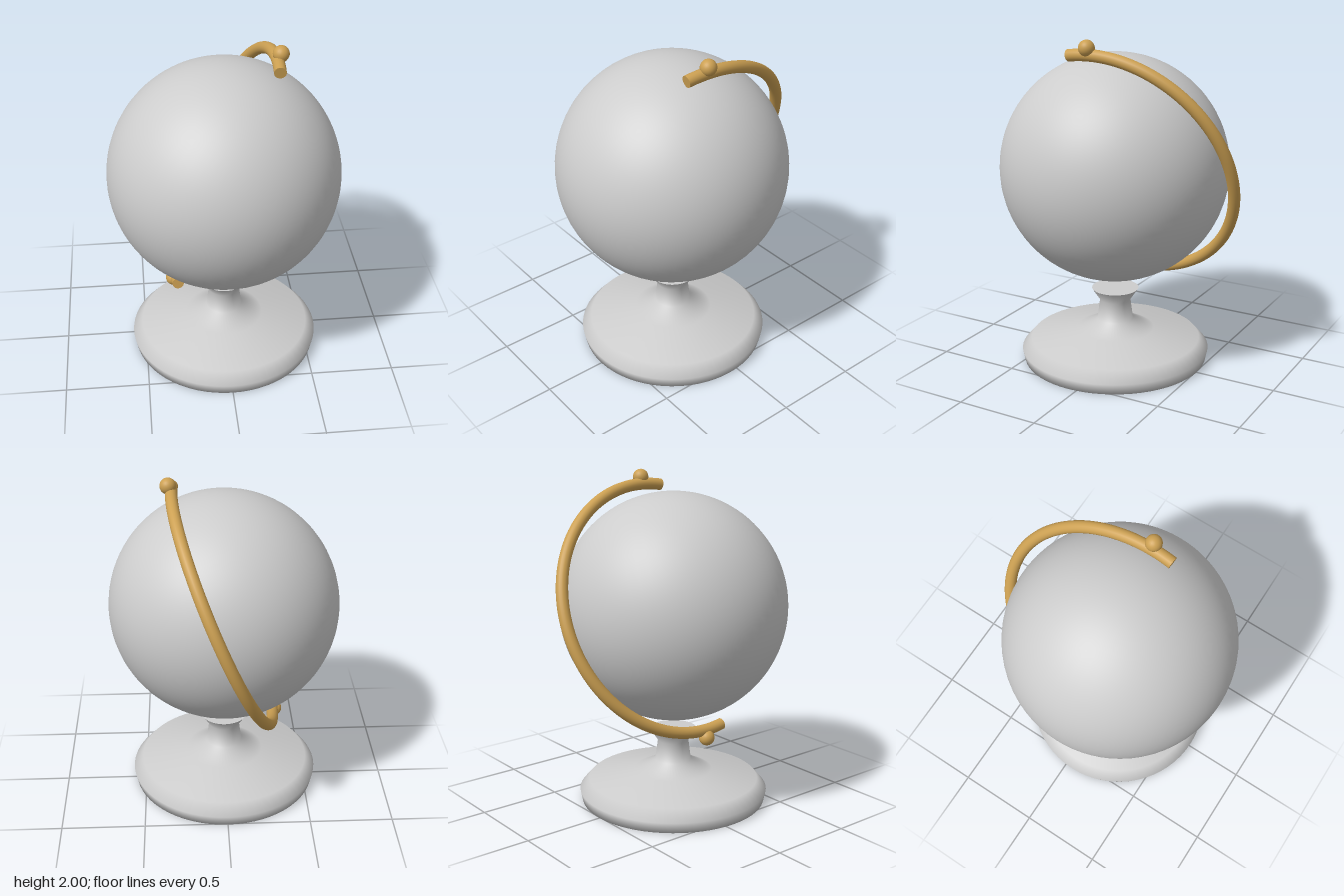
import * as THREE from 'three';

export function createModel() {
  const model = new THREE.Group();
  const grey = new THREE.MeshStandardMaterial({ color: 0xcccccc });
  grey.name = 'pale grey';
  const brass = new THREE.MeshStandardMaterial({ color: 0xcca052 });
  brass.name = 'brass';

  const add = (parent, name, geometry, material, x = 0, y = 0, z = 0) => {
    const mesh = new THREE.Mesh(geometry, material);
    mesh.name = name;
    mesh.position.set(x, y, z);
    parent.add(mesh);
    return mesh;
  };

  const centreY = 1.212, centreZ = 0.057;

  // Turned pedestal, closed above and below
  const profile = [
    [0, 0], [0.564, 0], [0.578, 0.066], [0.52, 0.132], [0.24, 0.183],
    [0.11, 0.246], [0.094, 0.37], [0.143, 0.445],
  ].map(([x, y]) => new THREE.Vector2(x, y));
  add(model, 'pedestal', new THREE.LatheGeometry(profile, 64), grey, 0, 0, centreZ);
  const top = add(model, 'pedestalTop', new THREE.CircleGeometry(0.143, 64), grey, 0, 0.445, centreZ);
  top.rotation.x = -Math.PI / 2;

  // Ball and its mount share one tilted axis
  const globe = new THREE.Group();
  globe.name = 'tiltedGlobe';
  globe.position.set(0, centreY, centreZ);
  globe.rotation.z = THREE.MathUtils.degToRad(-22.9);
  model.add(globe);
  add(globe, 'ball', new THREE.SphereGeometry(0.683, 64, 48), grey);

  // Meridian arm passing behind the ball, a little past each pole
  const radius = 0.763, tube = 0.035;
  const reach = THREE.MathUtils.degToRad(100);
  const arm = new THREE.TorusGeometry(radius, tube, 20, 96, 2 * reach);
  arm.rotateZ(-reach).rotateY(Math.PI / 2);
  add(globe, 'meridianArm', arm, brass);

  // Flat arm ends and pivot knobs, one pair per pole
  for (const side of [1, -1]) {
    const cap = new THREE.CircleGeometry(tube, 20);
    cap.rotateX(-side * Math.PI / 2).translate(radius, 0, 0);
    cap.rotateZ(side * reach).rotateY(Math.PI / 2);
    add(globe, side > 0 ? 'upperArmEnd' : 'lowerArmEnd', cap, brass);
    add(globe, side > 0 ? 'upperKnob' : 'lowerKnob',
      new THREE.SphereGeometry(0.047, 24, 16), brass, 0, side * 0.808, 0);
  }
  return model;
}
